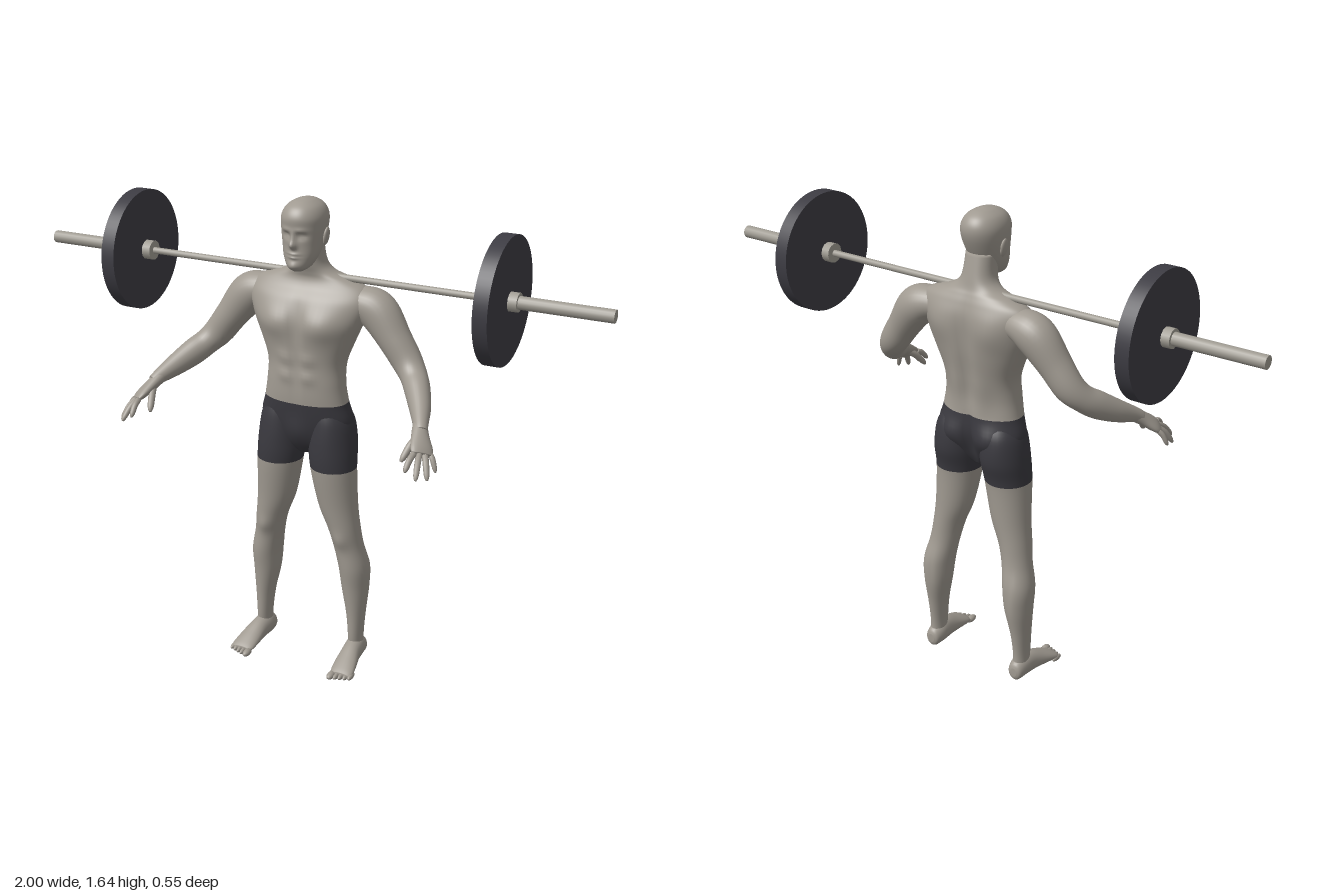
import * as THREE from 'three';

const mat = (name, color) => Object.assign(new THREE.MeshStandardMaterial({ color }), { name });
const V = (x, y, z) => new THREE.Vector3(x, y, z);

// smooth interpolation of one column of control rows
function spline(rows, i, t, c) {
  const at = (k) => rows[Math.min(rows.length - 1, Math.max(0, k))][c];
  const a = at(i - 1), b = at(i), d = at(i + 1), e = at(i + 2);
  return b + 0.5 * t * (d - a + t * (2 * a - 5 * b + 4 * d - e + t * (3 * (b - d) + e - a)));
}

// skin elliptical rings along rows of [x, y, z, radiusU, radiusV]
// dir fixes the ring plane, ref is the U axis, bumps sculpt the surface, split starts a second material
function loft(rows, { dir, ref = V(1, 0, 0), n = 24, k = 6, power = 1, bumps = [], split } = {}) {
  const pos = [], index = [], rings = [];
  for (let i = 0; i < rows.length - 1; i++)
    for (let s = 0; s < k; s++) rings.push([0, 1, 2, 3, 4].map((c) => spline(rows, i, s / k, c)));
  rings.push(rows[rows.length - 1]);
  const centre = (i) => V(...rings[Math.min(rings.length - 1, Math.max(0, i))].slice(0, 3));
  const soft = (v) => Math.sign(v) * Math.abs(v) ** power;
  rings.forEach((r, i) => {
    const d = dir ? dir.clone() : centre(i + 1).sub(centre(i - 1)).normalize();
    const u = ref.clone().addScaledVector(d, -ref.dot(d)).normalize();
    const v = d.clone().cross(u);
    for (let j = 0; j < n; j++) {
      const a = (j / n) * Math.PI * 2;
      const p = centre(i).addScaledVector(u, Math.max(r[3], 0.001) * soft(Math.cos(a)))
        .addScaledVector(v, Math.max(r[4], 0.001) * soft(Math.sin(a)));
      let dz = 0;
      for (const [bx, by, side, sx, sy, amp] of bumps) {
        const w = Math.max(0, -Math.sin(a) * side);
        dz += side * amp * Math.sqrt(w) * Math.exp(-(((Math.abs(p.x) - bx) / sx) ** 2) - ((p.y - by) / sy) ** 2);
      }
      pos.push(p.x, p.y, p.z + dz);
    }
  });
  const last = rings.length - 1, c0 = pos.length / 3;
  pos.push(...rings[0].slice(0, 3), ...rings[last].slice(0, 3));
  for (let j = 0; j < n; j++) index.push(c0, (j + 1) % n, j);
  for (let i = 0; i < last; i++)
    for (let j = 0; j < n; j++) {
      const a = i * n + j, b = i * n + ((j + 1) % n);
      index.push(a, b, a + n, b, b + n, a + n);
    }
  for (let j = 0; j < n; j++) index.push(c0 + 1, last * n + j, last * n + ((j + 1) % n));
  const g = new THREE.BufferGeometry();
  g.setAttribute('position', new THREE.Float32BufferAttribute(pos, 3));
  g.setIndex(index);
  g.computeVertexNormals();
  if (split !== undefined) {
    const cut = 3 * n + split * k * n * 6;
    g.addGroup(0, cut, 0);
    g.addGroup(cut, index.length - cut, 1);
  }
  return g;
}

function mirrored(geometry) {
  const g = geometry.clone().scale(-1, 1, 1), ix = g.index.array;
  for (let i = 0; i < ix.length; i += 3) [ix[i], ix[i + 1]] = [ix[i + 1], ix[i]];
  g.computeVertexNormals();
  return g;
}

export function createModel() {
  const model = new THREE.Group();
  model.name = 'weightlifter';
  const skin = mat('skin', 0xa09a91), cloth = mat('shorts', 0x3a393f);
  const steel = mat('bar steel', 0xa09c93), rubber = mat('plate rubber', 0x3d3c43);
  const up = V(0, 1, 0);
  const add = (name, g, m) => {
    const mesh = new THREE.Mesh(g, m);
    mesh.name = name;
    model.add(mesh);
  };
  const pair = (name, g, m) => {
    add(name + 'Left', g, m);
    add(name + 'Right', mirrored(g), m);
  };

  // torso with pelvis: shorts below the waist, skin above
  add('torso', loft([
    [0, 0.775, -0.05, 0.025, 0.035], [0, 0.82, -0.05, 0.115, 0.06], [0, 0.89, -0.052, 0.162, 0.08],
    [0, 0.965, -0.045, 0.146, 0.084], [0, 1.03, -0.043, 0.136, 0.084], [0, 1.1, -0.05, 0.136, 0.088],
    [0, 1.18, -0.056, 0.165, 0.096], [0, 1.25, -0.06, 0.195, 0.096], [0, 1.31, -0.07, 0.212, 0.086],
    [0, 1.35, -0.08, 0.195, 0.066], [0, 1.376, -0.08, 0.14, 0.055], [0, 1.396, -0.074, 0.083, 0.052],
    [0, 1.43, -0.064, 0.055, 0.053], [0, 1.5, -0.05, 0.05, 0.05],
  ], {
    dir: up, n: 64, power: 0.88, split: 3,
    bumps: [
      [0.085, 1.235, 1, 0.065, 0.05, 0.02], [0, 1.24, 1, 0.012, 0.07, -0.01], // chest
      [0.04, 1.12, 1, 0.025, 0.02, 0.007], [0.04, 1.06, 1, 0.025, 0.02, 0.007], [0, 1.08, 1, 0.01, 0.1, -0.005], // belly
      [0, 0.86, 1, 0.04, 0.05, 0.012], // shorts front
      [0, 1.16, -1, 0.022, 0.17, -0.016], [0.1, 1.27, -1, 0.06, 0.06, 0.014], [0.05, 1.05, -1, 0.03, 0.08, 0.008], // back
      [0.08, 0.88, -1, 0.05, 0.055, 0.022], [0, 0.87, -1, 0.014, 0.07, -0.02], // seat
    ],
  }), [cloth, skin]);

  // head with sculpted face
  add('head', loft([
    [0, 1.414, 0.018, 0.018, 0.02], [0, 1.428, 0.008, 0.038, 0.044], [0, 1.46, -0.006, 0.055, 0.06],
    [0, 1.5, -0.02, 0.064, 0.073], [0, 1.55, -0.03, 0.071, 0.086], [0, 1.585, -0.031, 0.07, 0.089],
    [0, 1.613, -0.032, 0.056, 0.074], [0, 1.63, -0.033, 0.031, 0.045], [0, 1.637, -0.033, 0.006, 0.01],
  ], {
    dir: up, n: 80, k: 9, power: 0.94,
    bumps: [
      [0, 1.502, 1, 0.011, 0.012, 0.018], [0, 1.522, 1, 0.008, 0.02, 0.01], // nose
      [0.026, 1.531, 1, 0.015, 0.01, -0.011], [0.026, 1.529, 1, 0.008, 0.005, 0.005], [0.025, 1.549, 1, 0.02, 0.008, 0.004], // eyes
      [0, 1.473, 1, 0.018, 0.005, 0.007], [0, 1.463, 1, 0.016, 0.005, 0.007], [0, 1.468, 1, 0.022, 0.002, -0.004], // lips
      [0, 1.435, 1, 0.02, 0.014, 0.009],
    ],
  }), skin);
  pair('ear', new THREE.SphereGeometry(1, 16, 12).scale(0.008, 0.03, 0.017).rotateZ(-0.15)
    .translate(0.072, 1.52, -0.035), skin);

  // legs, shorts from mid thigh upward
  pair('leg', loft([
    [0.18, 0.02, -0.08, 0.026, 0.034], [0.18, 0.09, -0.072, 0.025, 0.037], [0.178, 0.18, -0.075, 0.032, 0.044],
    [0.172, 0.28, -0.08, 0.046, 0.057], [0.168, 0.36, -0.076, 0.052, 0.063], [0.152, 0.44, -0.064, 0.051, 0.056],
    [0.138, 0.51, -0.055, 0.055, 0.06], [0.116, 0.6, -0.05, 0.068, 0.067], [0.1, 0.735, -0.045, 0.079, 0.08],
    [0.094, 0.82, -0.054, 0.081, 0.09], [0.09, 0.9, -0.055, 0.072, 0.083], [0.08, 0.95, -0.05, 0.055, 0.065],
  ], {
    dir: up, n: 32, split: 8,
    bumps: [[0.145, 0.475, 1, 0.025, 0.03, 0.008], [0.165, 0.34, -1, 0.012, 0.07, -0.004]], // kneecap, calf
  }), [skin, cloth]);

  // feet and toes
  pair('foot', loft([
    [0.18, 0.036, -0.122, 0.012, 0.016], [0.18, 0.037, -0.112, 0.026, 0.033], [0.18, 0.044, -0.075, 0.033, 0.041],
    [0.184, 0.041, -0.025, 0.034, 0.038], [0.19, 0.029, 0.03, 0.04, 0.026], [0.194, 0.019, 0.07, 0.041, 0.016],
    [0.195, 0.014, 0.088, 0.034, 0.01],
  ], { dir: V(0, 0, 1) }), skin);
  for (let i = 0; i < 5; i++)
    pair('toe' + (i + 1), new THREE.SphereGeometry(1, 12, 8)
      .scale(i ? 0.0085 : 0.013, i ? 0.01 : 0.012, 0.024)
      .translate(0.165 + i * 0.0155 + (i ? 0.003 : 0), 0.012, 0.096 - i * 0.006), skin);

  // arms, held down and forward
  pair('arm', loft([
    [0.12, 1.3, -0.085, 0.04, 0.045], [0.18, 1.302, -0.086, 0.056, 0.06], [0.235, 1.278, -0.087, 0.066, 0.064],
    [0.297, 1.2, -0.078, 0.055, 0.055], [0.345, 1.135, -0.07, 0.05, 0.049], [0.38, 1.097, -0.045, 0.044, 0.044],
    [0.41, 1.068, -0.005, 0.045, 0.041], [0.445, 1.035, 0.055, 0.037, 0.034], [0.473, 1.008, 0.115, 0.025, 0.024],
    [0.482, 0.995, 0.135, 0.022, 0.022],
  ], { ref: up, n: 28 }), skin);

  // hands: palm, four fingers and thumb
  const across = V(0.065, -0.02, -0.08).normalize();
  pair('palm', loft([
    [0.468, 1.012, 0.108, 0.022, 0.022], [0.485, 0.987, 0.145, 0.029, 0.02],
    [0.505, 0.961, 0.18, 0.038, 0.016], [0.515, 0.947, 0.198, 0.035, 0.01],
  ], { ref: across }), skin);
  const digit = (name, a, b, bend, r) => {
    const rows = [[0, 1], [0.45, 1], [0.85, 0.85], [1, 0.35]].map(([t, s]) => {
      const p = a.clone().lerp(b, t);
      return [p.x, p.y + bend * Math.sin(Math.PI * t), p.z, r * s, r * s];
    });
    pair(name, loft(rows, { ref: across, n: 10, k: 4 }), skin);
  };
  [[0.489, 0.912, 0.27], [0.525, 0.892, 0.27], [0.549, 0.884, 0.237], [0.557, 0.894, 0.19]].forEach((tip, i) =>
    digit('finger' + (i + 1), V(0.513, 0.949, 0.194).addScaledVector(across, -0.029 + i * 0.0193),
      V(...tip), 0.009, i === 3 ? 0.0085 : 0.01));
  digit('thumb', V(0.479, 0.984, 0.145), V(0.452, 0.918, 0.213), 0.008, 0.012);

  // barbell across the shoulders
  const rod = (name, r, x0, x1, sides, m) => {
    const g = new THREE.CylinderGeometry(r, r, x1 - x0, sides).rotateZ(Math.PI / 2);
    add(name, g.translate((x0 + x1) / 2, 1.38, -0.075), m);
  };
  rod('bar', 0.011, -0.61, 0.61, 16, steel);
  for (const [side, s] of [['Left', 1], ['Right', -1]]) {
    const part = (name, r, a, b, sides, m) => rod(name + side, r, Math.min(a * s, b * s), Math.max(a * s, b * s), sides, m);
    part('sleeve', 0.021, 0.6, 1, 16, steel);
    part('innerCollar', 0.033, 0.597, 0.628, 12, steel);
    part('plate', 0.203, 0.627, 0.674, 64, rubber);
    part('outerCollar', 0.031, 0.673, 0.703, 12, steel);
  }
  return model;
}
